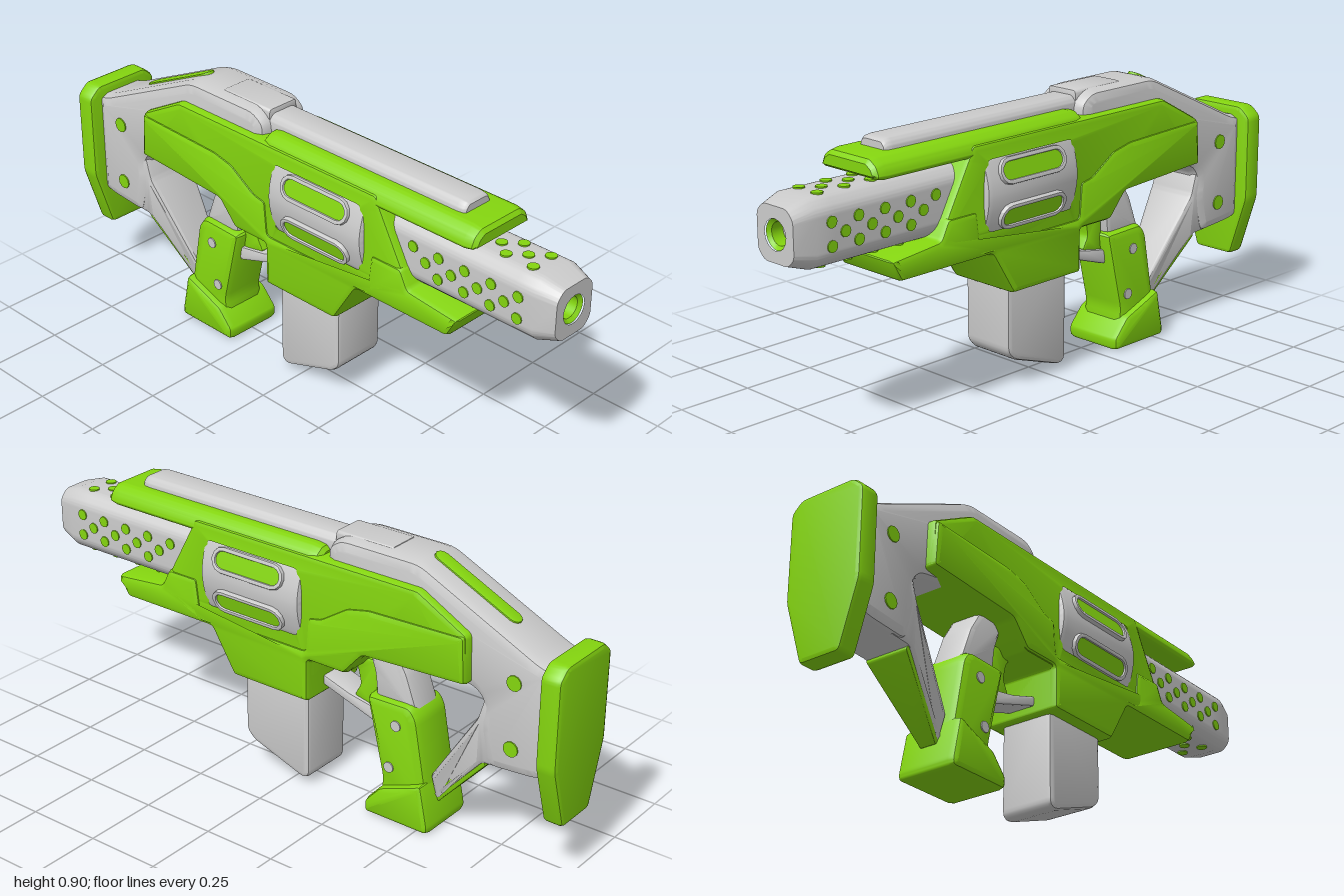
import * as THREE from 'three';
import { toCreasedNormals } from 'three/addons/utils/BufferGeometryUtils.js';

const grey = new THREE.MeshStandardMaterial({ color: 0xcccccc });
const green = new THREE.MeshStandardMaterial({ color: 0x84d50f });

// closed outline with softened corners
function outline(pts, r, Type = THREE.Shape) {
  const s = new Type(), n = pts.length;
  const v = pts.map(p => new THREE.Vector2(p[0], p[1]));
  for (let i = 0; i < n; i++) {
    const p = v[i], a = v[(i + n - 1) % n], b = v[(i + 1) % n];
    const toward = q => p.clone().lerp(q, Math.min(0.4, r / p.distanceTo(q)));
    const s0 = toward(a), s1 = toward(b);
    if (i === 0) s.moveTo(s0.x, s0.y); else s.lineTo(s0.x, s0.y);
    s.quadraticCurveTo(p.x, p.y, s1.x, s1.y);
  }
  s.closePath();
  return s;
}

const flip = pts => pts.map(([z, y]) => [-z, y]);
const mirrored = half => [...half, ...half.slice().reverse().map(([x, y]) => [-x, y])];

function extrude(shape, depth, bs, bt) {
  return new THREE.ExtrudeGeometry(shape, {
    depth: depth - 2 * bt, curveSegments: 3, bevelEnabled: bs > 0,
    bevelSize: bs, bevelThickness: bt, bevelOffset: -bs, bevelSegments: 2,
  }).translate(0, 0, bt - depth / 2);
}

export function createModel() {
  const model = new THREE.Group();

  function add(name, geo, mat, crease = 0.6) {
    const mesh = new THREE.Mesh(toCreasedNormals(geo, crease), mat);
    mesh.name = name;
    model.add(mesh);
    return mesh;
  }
  // (z, y) profile spread across x; taper(y) scales the width
  function side(name, pts, hw, mat, { bs = 0.015, bt = bs, r = 0.012, hole, taper } = {}) {
    const shape = outline(flip(pts), r);
    if (hole) shape.holes.push(outline(flip(hole), 0.03, THREE.Path));
    const g = extrude(shape, 2 * hw, bs, bt).rotateY(Math.PI / 2);
    if (taper) {
      const p = g.attributes.position;
      for (let i = 0; i < p.count; i++) p.setX(i, p.getX(i) * taper(p.getY(i)));
    }
    return add(name, g, mat);
  }
  // (x, y) section run along z
  function along(name, pts, z0, z1, mat, bs, bt = bs, r = 0.01) {
    return add(name, extrude(outline(pts, r), z1 - z0, bs, bt).translate(0, 0, (z0 + z1) / 2), mat);
  }
  // flush round inlay facing x or y
  function dot(name, x, y, z, r, mat, axis = 'x') {
    const g = new THREE.CylinderGeometry(r, r, 0.008, 12);
    if (axis === 'x') g.rotateZ(Math.PI / 2);
    add(name, g.translate(x, y, z), mat);
  }
  const sides = [-1, 1];

  // main shell with a window for the drum
  side('body', [[0.38, 0.785], [0.36, 0.825], [-0.5, 0.825], [-0.675, 0.73], [-0.68, 0.575],
    [-0.31, 0.555], [-0.24, 0.47], [-0.1, 0.47], [-0.1, 0.34], [0.2, 0.34], [0.29, 0.475],
    [0.655, 0.475], [0.69, 0.545], [0.5, 0.565]], 0.13, green,
  { bs: 0.018, hole: [[0.32, 0.53], [0.32, 0.79], [-0.075, 0.79], [-0.075, 0.53]] });

  // raised lower skirt with magazine housing
  side('lowerSkirt', [[0.47, 0.625], [0.35, 0.625], [0.335, 0.51], [-0.09, 0.51], [-0.1, 0.625],
    [-0.15, 0.635], [-0.25, 0.70], [-0.33, 0.718], [-0.67, 0.73], [-0.68, 0.575],
    [-0.31, 0.555], [-0.24, 0.475], [-0.1, 0.475], [-0.1, 0.33], [0.2, 0.33], [0.29, 0.475],
    [0.655, 0.475], [0.695, 0.545], [0.5, 0.565]], 0.139, green, { bs: 0.02 });

  // top hood and rail
  along('topHood', mirrored([[0.118, 0.785], [0.13, 0.798], [0.115, 0.83], [0.085, 0.85]]),
    -0.13, 0.735, green, 0.018, 0.04);
  along('topRail', mirrored([[0.06, 0.82], [0.06, 0.862], [0.042, 0.882]]), -0.2, 0.64, grey, 0.01, 0.03);
  along('rearRail', mirrored([[0.06, 0.86], [0.058, 0.893], [0.052, 0.899]]), -0.36, -0.15, grey, 0.004);

  // barrel shroud, narrowed at the muzzle
  const section = outline(mirrored([[0.065, 0.105], [0.1, 0.07], [0.1, -0.07], [0.065, -0.105]]), 0.02);
  section.holes.push(new THREE.Path().absarc(0, 0, 0.047, 0, Math.PI * 2, true));
  const barrel = new THREE.ExtrudeGeometry(section, { depth: 0.67, steps: 10, bevelEnabled: false, curveSegments: 8 });
  const bp = barrel.attributes.position;
  for (let i = 0; i < bp.count; i++) {
    const x = bp.getX(i), y = bp.getY(i);
    if (bp.getZ(i) > 0.66 && Math.hypot(x, y) > 0.06) bp.setXY(i, x * 0.8, y * 0.8);
  }
  add('barrelShroud', barrel.translate(0, 0.665, 0.33), grey);
  const ring = [[0.035, 0], [0.047, 0], [0.047, 0.09], [0.035, 0.08], [0.035, 0]].map(p => new THREE.Vector2(...p));
  add('muzzleRing', new THREE.LatheGeometry(ring, 24).rotateX(Math.PI / 2).translate(0, 0.665, 0.905), green);
  add('muzzlePlug', new THREE.CylinderGeometry(0.037, 0.037, 0.05, 24).rotateX(Math.PI / 2).translate(0, 0.665, 0.92), grey);

  // staggered vent dots
  for (const s of sides) {
    for (let i = 0; i < 5; i++) {
      const z = 0.88 - i * 0.098;
      dot('ventDot', s * 0.1, 0.698, z, 0.018, green);
      if (i < 4) {
        dot('ventDot', s * 0.1, 0.662, z - 0.049, 0.018, green);
        dot('ventDot', s * 0.1, 0.627, z, 0.018, green);
      }
      for (const y of [0.77, 0.56]) {
        dot('ventDot', s * 0.04, y, z, 0.018, green, 'y');
        if (s > 0) dot('ventDot', 0, y, z - 0.049, 0.018, green, 'y');
      }
    }
  }

  // bulging drum with two framed slots on each side
  along('drum', mirrored([[0.118, 0.53], [0.135, 0.575], [0.147, 0.62], [0.151, 0.66],
    [0.147, 0.70], [0.135, 0.745], [0.118, 0.79]]), -0.075, 0.32, grey, 0.016, 0.02, 0.02);
  const capsule = (Type, len, r) => {
    const c = new Type();
    c.absarc(len / 2, 0, r, -Math.PI / 2, Math.PI / 2);
    c.absarc(-len / 2, 0, r, Math.PI / 2, Math.PI * 1.5);
    c.closePath();
    return c;
  };
  for (const s of sides) for (const v of sides) {
    const place = g => g.rotateY(Math.PI / 2).rotateZ(s * v * 0.27).translate(s * 0.14, 0.657 + v * 0.07, 0.127);
    const frame = capsule(THREE.Shape, 0.2, 0.042);
    frame.holes.push(capsule(THREE.Path, 0.2, 0.028));
    add('slotFrame', place(extrude(frame, 0.024, 0.004, 0.004)), grey);
    add('slotInlay', place(extrude(capsule(THREE.Shape, 0.2, 0.029), 0.01, 0, 0)), green);
  }

  // magazine
  side('magazine', [[0.185, 0.4], [0.185, 0.12], [0.155, 0.09], [-0.05, 0.02], [-0.075, 0.035], [-0.075, 0.4]],
    0.095, grey, { bs: 0.014, r: 0.02 });

  // trigger group
  side('trigger', [[-0.19, 0.5], [-0.3, 0.5], [-0.3, 0.33], [-0.21, 0.355], [-0.235, 0.40], [-0.225, 0.45]],
    0.04, green, { bs: 0.008 });
  side('triggerGuard', [[-0.09, 0.395], [-0.09, 0.362], [-0.31, 0.29], [-0.31, 0.34], [-0.2, 0.36]],
    0.05, grey, { bs: 0.006 });

  // pistol grip
  side('gripNeck', [[-0.26, 0.58], [-0.37, 0.58], [-0.42, 0.5], [-0.465, 0.38], [-0.31, 0.38], [-0.3, 0.47]],
    0.06, grey, { bs: 0.018 });
  side('grip', [[-0.285, 0.4], [-0.45, 0.405], [-0.477, 0.37], [-0.54, 0.03], [-0.34, 0.03], [-0.35, 0.13]],
    0.085, green, { bs: 0.025, r: 0.02 });
  side('gripBase', [[-0.305, 0], [-0.302, 0.04], [-0.36, 0.105], [-0.44, 0.135], [-0.515, 0.165], [-0.545, 0.02], [-0.54, 0]],
    0.11, green, { bs: 0.016, bt: 0.025 });
  for (const s of sides) {
    dot('gripScrew', s * 0.085, 0.33, -0.405, 0.018, grey);
    dot('gripScrew', s * 0.085, 0.178, -0.382, 0.018, grey);
  }

  // shoulder stock
  side('stock', [[-0.14, 0.86], [-0.19, 0.896], [-0.48, 0.896], [-0.9, 0.70], [-0.945, 0.69], [-0.945, 0.335],
    [-0.9, 0.322], [-0.74, 0.31], [-0.705, 0.45], [-0.72, 0.51], [-0.69, 0.55], [-0.5, 0.58],
    [-0.3, 0.62], [-0.15, 0.70]], 0.1, grey, { bs: 0.034, r: 0.03 });
  const strutTaper = y => THREE.MathUtils.clamp(0.35 + (y - 0.09) * 2.6, 0.35, 1);
  side('stockStrut', [[-0.525, 0.09], [-0.515, 0.18], [-0.695, 0.455], [-0.72, 0.54], [-0.82, 0.52],
    [-0.8, 0.315], [-0.72, 0.31]], 0.092, grey, { bs: 0.016, taper: strutTaper });
  side('strutInlay', [[-0.53, 0.082], [-0.52, 0.11], [-0.70, 0.335], [-0.73, 0.305]], 0.085, green,
    { bs: 0.004, taper: strutTaper });
  for (const s of sides) for (const y of [0.62, 0.405]) dot('stockDot', s * 0.1, y, -0.825, 0.025, green);

  // inlay on the sloping comb
  const slope = Math.atan2(0.196, 0.42);
  const comb = add('combInlay', extrude(capsule(THREE.Shape, 0.28, 0.025), 0.012, 0.003, 0.003)
    .rotateX(-Math.PI / 2).rotateY(Math.PI / 2), green);
  comb.rotation.x = -slope;
  comb.position.set(0, 0.827, -0.625);

  // butt pad
  along('buttPad', mirrored([[0.1, 0.725], [0.14, 0.69], [0.14, 0.40], [0.075, 0.19]]), -1, -0.93, green, 0.014, 0.014, 0.015);

  return model;
}
